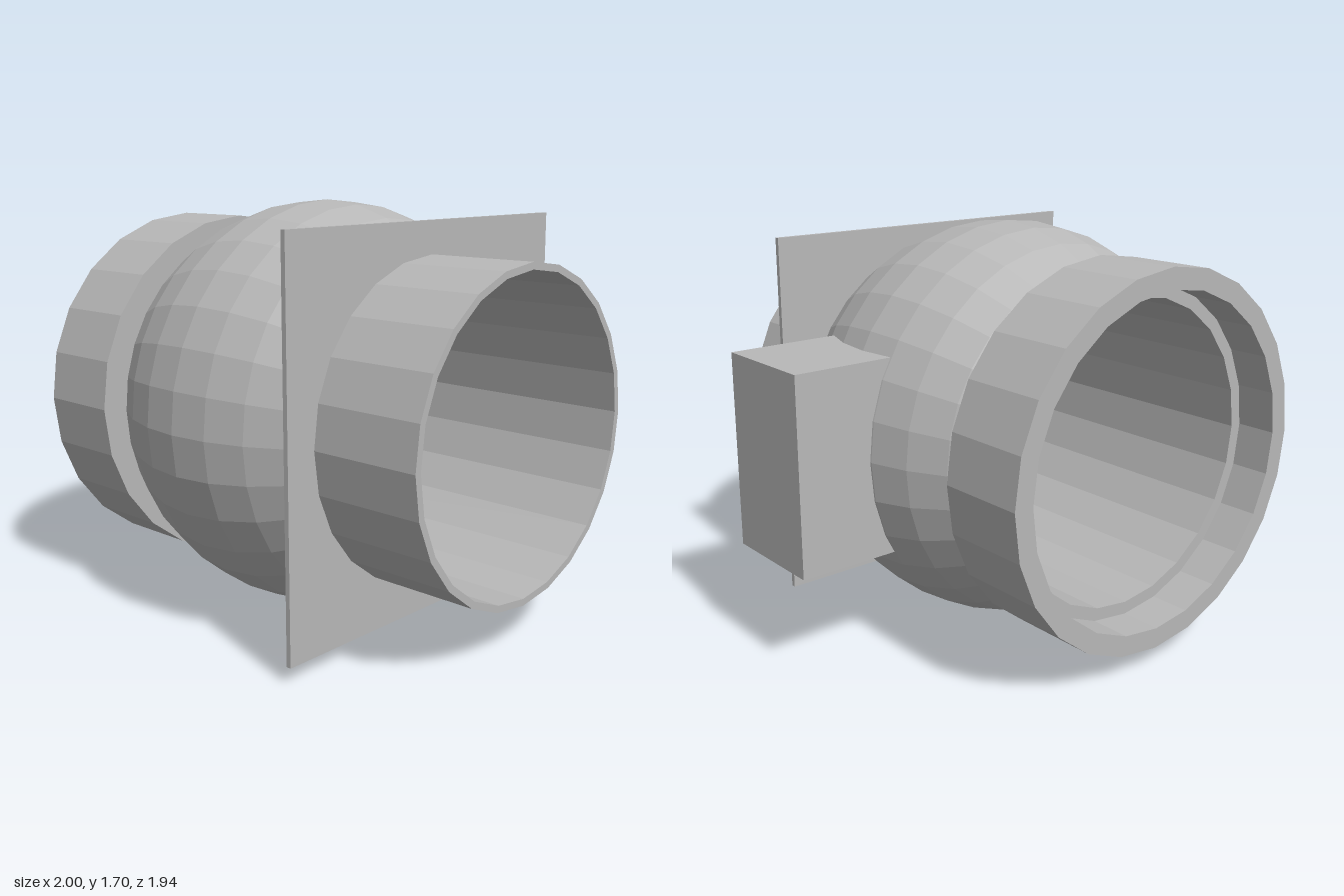
import * as THREE from 'three';

export function createModel() {
  const model = new THREE.Group();
  model.name = 'pipeCoupling';
  const grey = new THREE.MeshStandardMaterial({ color: 0xb8b8b8 });
  grey.name = 'plain grey';
  grey.flatShading = true;

  const cx = -0.152, cy = 0.85, bore = 0.627;

  const add = (name, geometry, x, y, z) => {
    const mesh = new THREE.Mesh(geometry, grey);
    mesh.name = name;
    mesh.position.set(x, y, z);
    model.add(mesh);
  };

  // Turned part around the z axis; profile points are [radius, z]
  const turn = (name, profile, sides, z = 0) => {
    const points = profile.map(([r, h]) => new THREE.Vector2(r, h));
    add(name, new THREE.LatheGeometry(points, sides).rotateX(Math.PI / 2), cx, cy, z);
  };

  // Front pipe, with the bore running through the body to the rear step
  turn('frontPipe', [[0.655, 0.49], [0.655, 0.97], [bore, 0.97], [bore, -0.8]], 24);

  // Wider rear socket with a counterbore
  turn('rearSocket', [
    [bore, -0.8], [0.68, -0.8], [0.68, -0.97], [0.765, -0.97], [0.765, -0.6], [bore, -0.6],
  ], 24);

  // Faceted round body, open at both ends where the pipes enter
  const arc = [[0.64, -0.553]];
  for (let i = -3; i <= 3; i++) {
    const a = (i * Math.PI) / 16;
    arc.push([0.85 * Math.cos(a), 0.85 * Math.sin(a)]);
  }
  arc.push([0.64, 0.553]);
  turn('roundBody', arc, 32, -0.055);

  // Thin square flange around the front pipe
  const h = 0.786;
  const square = new THREE.Shape([
    new THREE.Vector2(-h, -h), new THREE.Vector2(h, -h),
    new THREE.Vector2(h, h), new THREE.Vector2(-h, h),
  ]);
  square.holes.push(new THREE.Path().absarc(0, 0, 0.637, 0, Math.PI * 2, true));
  add('squareFlange', new THREE.ExtrudeGeometry(square, {
    depth: 0.02, bevelEnabled: false, curveSegments: 24,
  }), cx, cy, 0.484);

  // Side housing, sunk into the round body
  add('sideHousing', new THREE.BoxGeometry(0.5, 0.8, 0.465), 0.75, cy, 0.018);

  return model;
}
